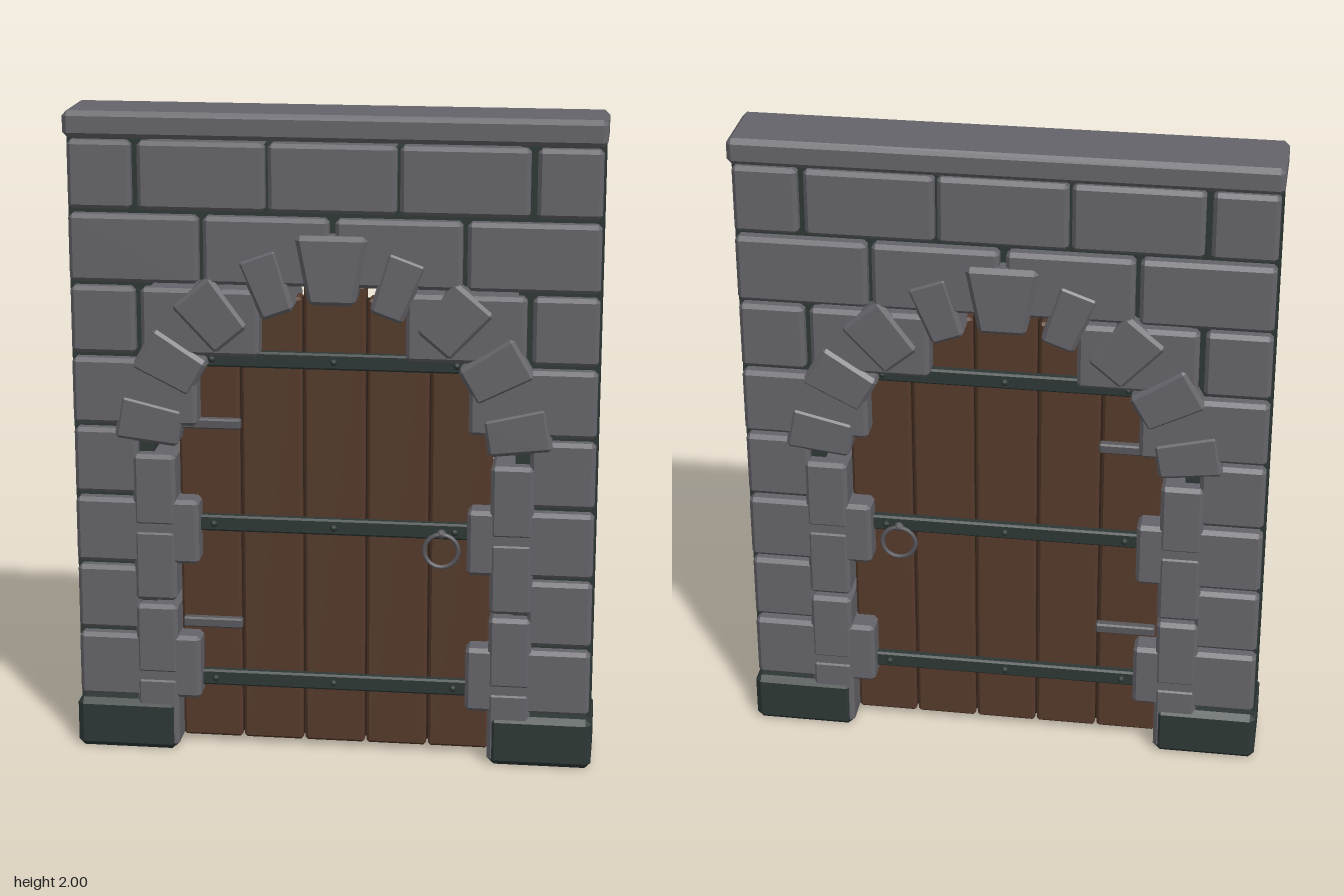
import * as THREE from 'three';
import { ConvexGeometry } from 'three/addons/geometries/ConvexGeometry.js';

const flat = (name, color) => {
  const m = new THREE.MeshStandardMaterial({ color });
  m.name = name;
  return m;
};

// Chamfered block; its width may taper from bottom to top
function block(w, h, d, b = 0.012, topW = w) {
  const pts = [];
  for (const sx of [-1, 1]) for (const sy of [-1, 1]) for (const sz of [-1, 1]) {
    const x = (sy > 0 ? topW : w) / 2, y = h / 2, z = d / 2;
    pts.push(
      new THREE.Vector3(sx * x, sy * (y - b), sz * (z - b)),
      new THREE.Vector3(sx * (x - b), sy * y, sz * (z - b)),
      new THREE.Vector3(sx * (x - b), sy * (y - b), sz * z));
  }
  return new ConvexGeometry(pts);
}

export function createModel() {
  const stone = flat('grey stone', 0x65646a);
  const dark = flat('dark green stone and iron', 0x2e3836);
  const wood = flat('brown wood', 0x553a2b);
  const seam = flat('dark wood seam', 0x2f2018);
  const steel = flat('hinge steel', 0x58585d);
  const model = new THREE.Group();
  model.name = 'stoneArchDoor';

  const add = (parent, name, geo, mat, x, y, z = 0) => {
    const m = new THREE.Mesh(geo, mat);
    m.name = name;
    m.position.set(x, y, z);
    parent.add(m);
    return m;
  };
  const group = (name) => {
    const g = new THREE.Group();
    g.name = name;
    model.add(g);
    return g;
  };
  // Block given by its left, right, bottom and top
  const span = (parent, name, mat, x0, x1, y0, y1, d, b) =>
    add(parent, name, block(x1 - x0, y1 - y0, d, b), mat, (x0 + x1) / 2, (y0 + y1) / 2);

  // Mortar core: two pillars and a lintel
  const core = group('wallCore');
  for (const s of [-1, 1])
    add(core, 'corePillar', new THREE.BoxGeometry(0.245, 1.78, 0.14), dark, s * 0.6725, 1.04);
  add(core, 'coreLintel', new THREE.BoxGeometry(1.1, 0.41, 0.14), dark, 0, 1.7);

  // Courses of wall stones, mirrored left and right
  const wall = group('wallStones');
  const long = [[0.41, 0.79]];
  const courses = [
    long, [[0.595, 0.79]], long, [[0.595, 0.79]], long,
    [[0.22, 0.577], [0.595, 0.79]],
    [[0.01, 0.385], [0.4, 0.79]],
    [[0.2, 0.58], [0.6, 0.79]],
  ];
  courses.forEach((row, i) => {
    const y0 = 0.17 + i * 0.2197, y1 = y0 + 0.204, d = i % 2 ? 0.212 : 0.22;
    for (const [a, b] of row) {
      span(wall, 'wallStone', stone, a, b, y0, y1, d);
      span(wall, 'wallStone', stone, -b, -a, y0, y1, d);
    }
  });
  span(wall, 'wallStone', stone, -0.19, 0.19, 1.708, 1.912, 0.212);

  // Coping and footings
  span(model, 'coping', stone, -0.8, 0.8, 1.92, 2, 0.235, 0.015);
  for (const s of [-1, 1])
    add(model, 'footing', block(0.315, 0.16, 0.245, 0.018), dark, s * 0.6425, 0.08);

  // Door jambs
  const jambs = group('jambs');
  for (const s of [-1, 1]) for (let i = 0; i < 4; i++)
    add(jambs, 'jambStone', block(0.13, 0.226, 0.23), stone, s * 0.545, 0.122 + i * 0.2405);

  // Arch stones every 20 degrees, with a wider keystone
  const arch = group('arch');
  const widths = [0, 0.125, 0.155, 0.145, 0.138];
  for (let i = -4; i <= 4; i++) {
    const a = i * Math.PI / 9, key = i === 0, w = widths[Math.abs(i)];
    const geo = key ? block(0.145, 0.21, 0.254, 0.014, 0.215) : block(w - 0.02, 0.195, 0.232, 0.012, w);
    const r = key ? 0.58 : 0.565;
    add(arch, key ? 'keystone' : 'archStone', geo, stone,
      Math.sin(a) * r, 0.96 + Math.cos(a) * r).rotation.z = -a;
  }

  // Planks over a thin dark panel that closes the seams
  const door = group('door');
  const tops = [1.25, 1.44, 1.48, 1.44, 1.25];
  tops.forEach((top, i) => {
    const x = (i - 2) * 0.1925;
    span(door, 'plank', wood, x - 0.093, x + 0.093, 0.02, top, 0.07, 0.008);
  });
  add(door, 'seamPanel', new THREE.BoxGeometry(0.93, 1.2, 0.03), seam, 0, 0.635);
  add(door, 'seamPanelTop', new THREE.BoxGeometry(0.54, 0.2, 0.03), seam, 0, 1.335);

  // Ironwork on both faces
  for (const s of [-1, 1]) {
    for (const y of [0.225, 0.73, 1.25]) {
      add(door, 'ironBand', block(0.86, 0.05, 0.03, 0.006), dark, 0, y, s * 0.045);
      for (const x of [-0.37, 0, 0.37])
        add(door, 'rivet', new THREE.SphereGeometry(0.011, 8, 6), dark, x, y, s * 0.061);
    }
    for (const y of [0.405, 1.045])
      add(door, 'hingeStrap', block(0.185, 0.032, 0.03, 0.005), steel, -0.378, y, s * 0.045);
    add(door, 'ringHandle', new THREE.TorusGeometry(0.052, 0.007, 6, 20), steel, 0.33, 0.672, s * 0.068);
    add(door, 'ringKnob', new THREE.SphereGeometry(0.015, 8, 6), steel, 0.33, 0.724, s * 0.062);
  }
  return model;
}
